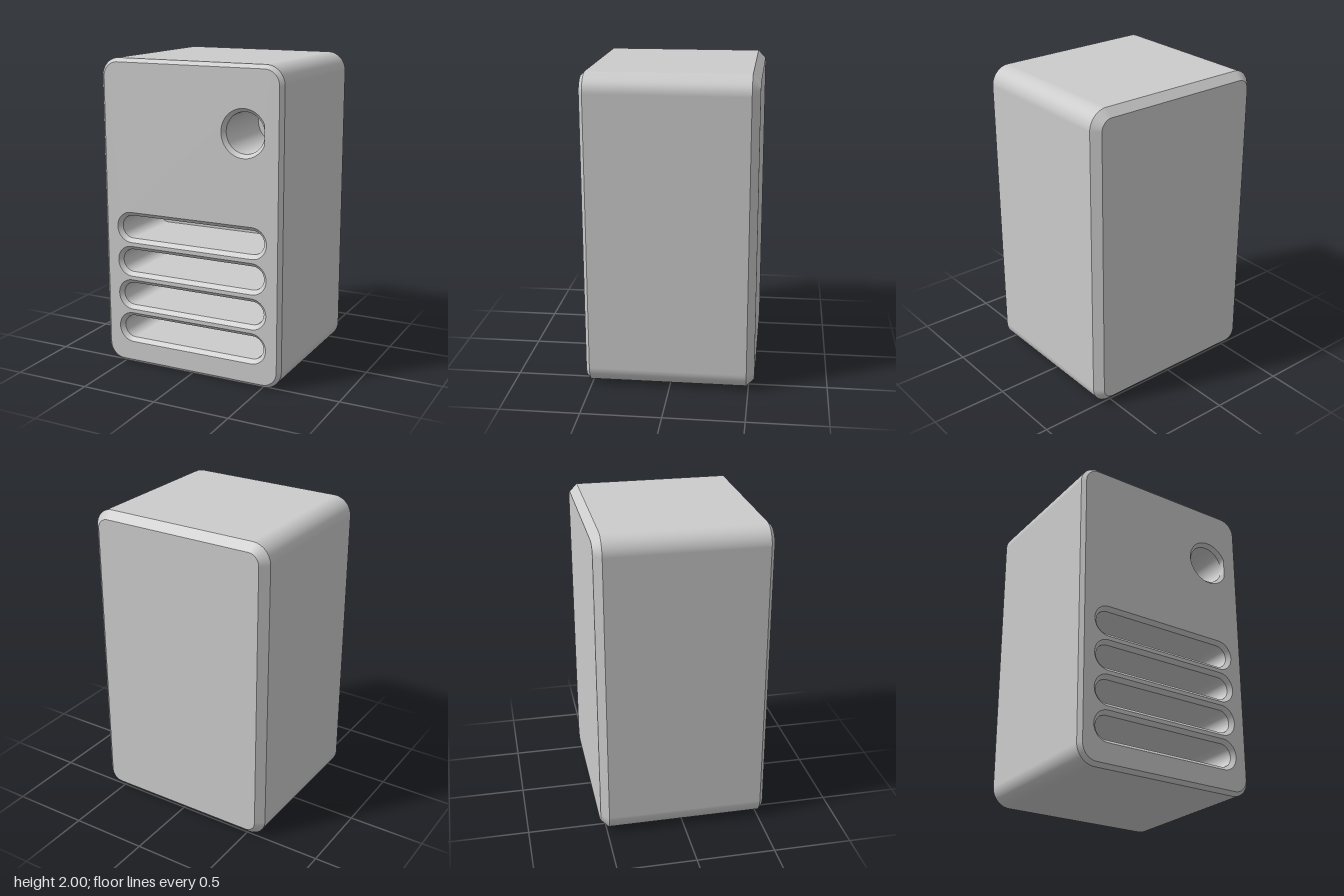
import * as THREE from 'three';

const material = new THREE.MeshStandardMaterial({ color: 0xcccccc });
const FRONT = 0.535, BACK = -0.537, POCKET_FLOOR = 0.05;

// Counter-clockwise outline of a rounded rectangle centred on (cx, cy)
function outline(cx, cy, hw, hh, r, maxX = Infinity, steps = 14) {
  const points = [];
  [[1, 1], [-1, 1], [-1, -1], [1, -1]].forEach(([sx, sy], quarter) => {
    for (let i = 0; i <= steps; i++) {
      const a = (quarter + i / steps) * Math.PI / 2;
      const x = cx + sx * (hw - r) + r * Math.cos(a);
      const y = cy + sy * (hh - r) + r * Math.sin(a);
      const p = new THREE.Vector2(Math.min(x, maxX), y);
      const last = points[points.length - 1];
      if (!last || last.distanceTo(p) > 1e-6) points.push(p);
    }
  });
  if (points[0].distanceTo(points[points.length - 1]) < 1e-6) points.pop();
  return points;
}

// Closed band between two outlines, the first one nearer the front
function band(name, front, zFront, back, zBack, inward = false) {
  const n = front.length, positions = [], index = [];
  front.forEach(p => positions.push(p.x, p.y, zFront));
  back.forEach(p => positions.push(p.x, p.y, zBack));
  for (let i = 0; i < n; i++) {
    const j = (i + 1) % n;
    if (inward) index.push(i, j, n + i, j, n + j, n + i);
    else index.push(i, n + i, j, j, n + i, n + j);
  }
  const geometry = new THREE.BufferGeometry();
  geometry.setAttribute('position', new THREE.Float32BufferAttribute(positions, 3));
  geometry.setIndex(index);
  geometry.computeVertexNormals();
  return named(name, geometry);
}

function named(name, geometry) {
  const mesh = new THREE.Mesh(geometry, material);
  mesh.name = name;
  return mesh;
}

// Flat panel facing +z
function panel(name, points, z, holes = []) {
  const shape = new THREE.Shape(points);
  shape.holes = holes.map(h => new THREE.Path(h));
  const mesh = named(name, new THREE.ShapeGeometry(shape));
  mesh.position.z = z;
  return mesh;
}

// Deep recess with a chamfered mouth
function pocket(name, mouth, throat) {
  const group = new THREE.Group();
  group.name = name;
  group.add(
    band(name + 'Chamfer', mouth, FRONT, throat, FRONT - 0.025, true),
    band(name + 'Wall', throat, FRONT - 0.025, throat, POCKET_FLOOR, true),
    panel(name + 'Floor', throat, POCKET_FLOOR)
  );
  return group;
}

export function createModel() {
  const model = new THREE.Group();
  model.name = 'towerCabinet';
  const mouths = [];

  // Four vent slots
  for (let i = 0; i < 4; i++) {
    const y = 0.25 + i * 0.225;
    const mouth = outline(0, y, 0.525, 0.1, 0.1);
    mouths.push(mouth);
    model.add(pocket('ventSlot' + (i + 1), mouth, outline(0, y, 0.5, 0.075, 0.075)));
  }

  // Round button recess, trimmed flat on its outer side
  const ring = outline(0.37, 1.59, 0.15, 0.15, 0.15, 0.505);
  mouths.push(ring);
  model.add(pocket('buttonRecess', ring, outline(0.37, 1.59, 0.127, 0.127, 0.127, 0.505)));

  // Case: chamfered front, rounded sides, wider chamfer at the back
  const full = outline(0, 1, 0.622, 1, 0.12);
  const frontEdge = outline(0, 1, 0.598, 0.976, 0.096);
  const backEdge = outline(0, 1, 0.573, 0.951, 0.071);
  model.add(
    panel('frontPanel', frontEdge, FRONT, mouths),
    band('frontChamfer', frontEdge, FRONT, full, FRONT - 0.024),
    band('caseSides', full, FRONT - 0.024, full, BACK + 0.049),
    band('backChamfer', full, BACK + 0.049, backEdge, BACK)
  );
  const backPanel = panel('backPanel', backEdge, BACK);
  backPanel.rotation.y = Math.PI;
  model.add(backPanel);
  return model;
}
